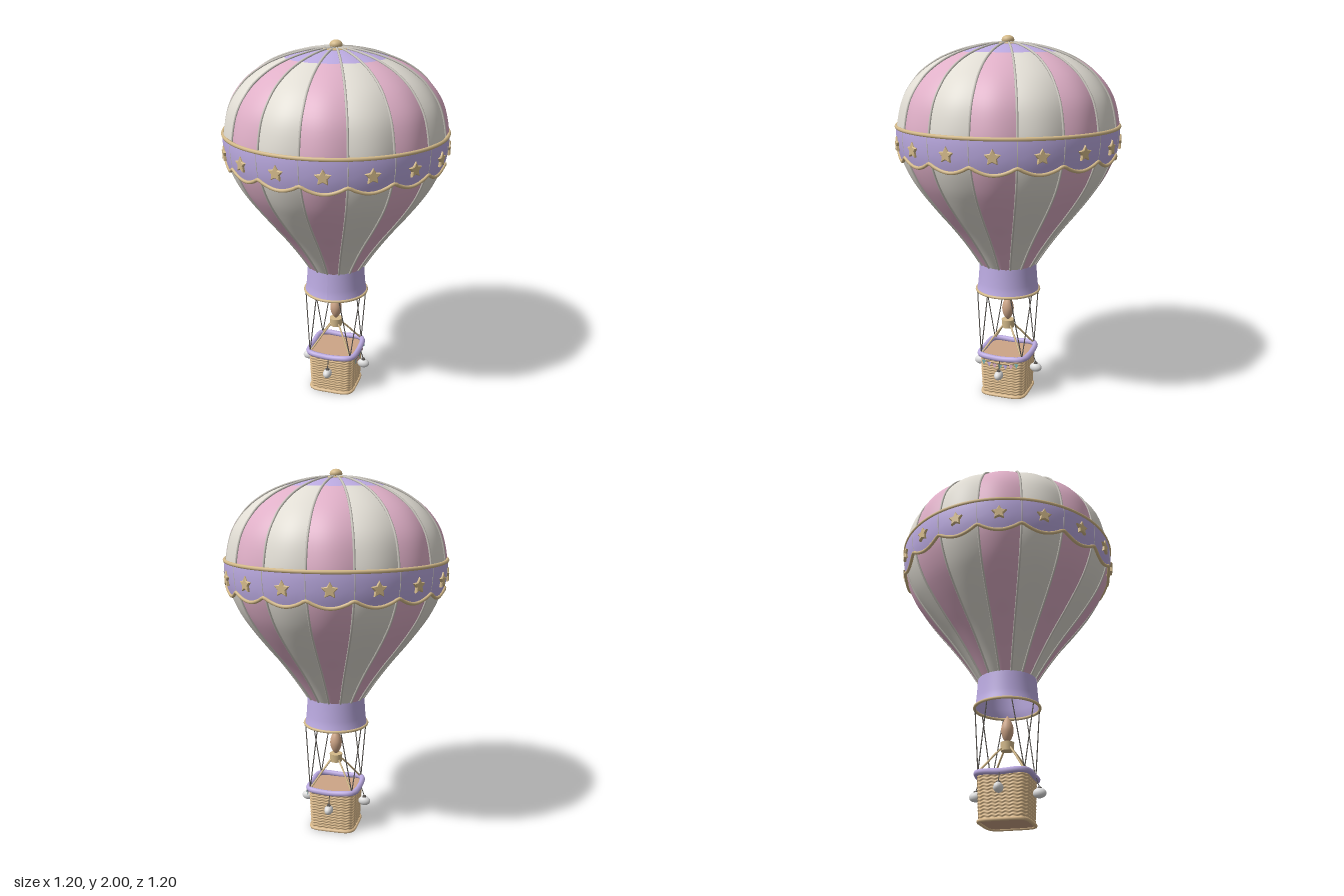
import * as THREE from 'three';

const mat = (name, color) => {
  const m = new THREE.MeshStandardMaterial({ color, side: THREE.DoubleSide });
  m.name = name;
  return m;
};

export function createModel() {
  const pink = mat('pink fabric', 0xe0b0c8), cream = mat('cream fabric', 0xe1ddd4);
  const lilac = mat('lilac fabric', 0xbcabe2), seamGrey = mat('seam grey', 0xc6c2ba);
  const gold = mat('gold trim', 0xd4ba8a), wicker = mat('wicker', 0xdcbb8d);
  const brown = mat('warm brown', 0xcda587), rope = mat('dark rope', 0x5a5652);
  const teal = mat('teal flag', 0x7fb8b4), white = mat('white canvas', 0xdedede);

  const model = new THREE.Group();
  const N = 16, STEP = Math.PI * 2 / N;
  const polar = (r, y, a) => new THREE.Vector3(r * Math.sin(a), y, r * Math.cos(a));
  const add = (name, geo, material, parent = model) => {
    const m = new THREE.Mesh(geo, material);
    m.name = name;
    parent.add(m);
    return m;
  };
  const group = (name) => {
    const g = new THREE.Group();
    g.name = name;
    model.add(g);
    return g;
  };

  // Surface over u (around) and v (upwards)
  const grid = (nu, nv, fn) => {
    const pos = [], idx = [];
    for (let j = 0; j <= nv; j++) for (let i = 0; i <= nu; i++) pos.push(...fn(i / nu, j / nv).toArray());
    for (let j = 0; j < nv; j++) for (let i = 0; i < nu; i++) {
      const a = j * (nu + 1) + i, b = a + 1, c = a + nu + 1, d = c + 1;
      idx.push(a, b, d, a, d, c);
    }
    const g = new THREE.BufferGeometry();
    g.setAttribute('position', new THREE.Float32BufferAttribute(pos, 3));
    g.setIndex(idx);
    g.computeVertexNormals();
    return g;
  };
  const tube = (pts, r, seg = 12, closed = false, sides = 8) =>
    new THREE.TubeGeometry(new THREE.CatmullRomCurve3(pts, closed), seg, r, sides, closed);
  const ring = (name, r, y, t, material, parent) => {
    const m = add(name, new THREE.TorusGeometry(r, t, 8, 96), material, parent);
    m.rotation.x = Math.PI / 2;
    m.position.y = y;
    return m;
  };

  // Envelope profile at the seams, from mouth to crown
  const pts = [[.155, .77], [.22, .87], [.3, .98], [.38, 1.08], [.455, 1.18], [.512, 1.27], [.555, 1.37],
    [.574, 1.46], [.573, 1.56], [.54, 1.69], [.468, 1.795], [.37, 1.87], [.26, 1.918], [.15, 1.946], [.07, 1.957], [0, 1.959]];
  const profile = new THREE.SplineCurve(pts.map(p => new THREE.Vector2(...p)));
  const samples = profile.getPoints(600);
  const radiusAt = y => samples.find(p => p.y >= y).x;
  const capT = 12 / (pts.length - 1);
  const gore = (k, t0, t1, nv) => grid(10, nv, (u, v) => {
    const p = profile.getPoint(t0 + (t1 - t0) * v);
    return polar(p.x * (1 + .025 * Math.sin(Math.PI * u)), p.y, (k + u) * STEP);
  });

  const envelope = group('envelope'), band = group('band');
  const bandR = y => radiusAt(y) + .016;
  const hem = u => 1.4 - .036 * Math.sin(Math.PI * u);

  // Five-pointed star
  const starShape = new THREE.Shape();
  for (let i = 0; i < 10; i++) {
    const r = i % 2 ? .018 : .036, a = i * Math.PI / 5;
    starShape[i ? 'lineTo' : 'moveTo'](r * Math.sin(a), r * Math.cos(a));
  }
  starShape.closePath();
  const starGeo = new THREE.ExtrudeGeometry(starShape,
    { depth: .01, bevelEnabled: true, bevelThickness: .004, bevelSize: .004, bevelSegments: 1 });

  const hemPts = [];
  for (let k = 0; k < N; k++) {
    const a = k * STEP;
    add('gore', gore(k, 0, capT, 48), k % 2 ? cream : pink, envelope);
    add('crownPanel', gore(k, capT, 1, 12), lilac, envelope);
    const seam = [];
    for (let j = 0; j <= 40; j++) {
      const p = profile.getPoint(j / 40 * .995);
      seam.push(polar(p.x + .003, p.y + (p.y > 1.8 ? .003 : 0), a));
    }
    add('seam', tube(seam, .006, 80, false, 8), seamGrey, envelope);

    // Scalloped band section with its star
    add('bandPanel', grid(10, 8, (u, v) => {
      const y = hem(u) + (1.54 - hem(u)) * v;
      return polar(bandR(y), y, (k + u) * STEP);
    }), lilac, band);
    add('bandSeam', tube([1.4, 1.47, 1.54].map(y => polar(bandR(y) - .001, y, a)), .003, 8, false, 6), seamGrey, band);
    for (let j = 0; j < 8; j++) hemPts.push(polar(bandR(hem(j / 8)) + .002, hem(j / 8), a + j / 8 * STEP));
    const star = add('star', starGeo, gold, band);
    star.position.copy(polar(.587, 1.453, a + STEP / 2));
    star.rotation.y = a + STEP / 2;
  }
  add('scallopTrim', tube(hemPts, .009, 256, true), gold, band);
  ring('bandTopRing', .589, 1.537, .01, gold, band);

  // Crown fitting, with the seams running over the rings
  ring('crownRing', .073, 1.957, .006, gold, envelope);
  ring('crownInnerRing', .055, 1.958, .006, gold, envelope);
  const knob = add('crownKnob', new THREE.SphereGeometry(.033, 24, 16), gold, envelope);
  knob.scale.y = .75;
  knob.position.y = 1.975;

  // Skirt
  add('skirt', grid(64, 6, (u, v) => polar(.175 - .017 * Math.sqrt(v), .615 + .157 * v, u * Math.PI * 2)), lilac);
  ring('skirtRing', .174, .615, .008, gold);

  // Basket: rounded-square cross-sections
  const square = (a, y, t) => {
    const n = 5, s = Math.abs(Math.sin(t)) ** n + Math.abs(Math.cos(t)) ** n;
    return polar(a / s ** (1 / n), y, t);
  };
  const loop = (a, y, lift = 0) => Array.from({ length: 64 }, (_, i) => {
    const t = i / 64 * Math.PI * 2;
    return square(a, y + lift * Math.sin(2 * t) ** 2, t);
  });
  const basket = group('basket');
  add('wovenWall', grid(192, 72, (u, v) => {
    const weave = .002 * Math.sin(v * Math.PI * 28 + 1.2 * Math.sin(u * Math.PI * 48));
    return square(.127 + .009 * v + weave, .01 + .23 * v, u * Math.PI * 2);
  }), wicker, basket);
  for (const [name, a, y] of [['base', .126, .01], ['deck', .136, .232]])
    add(name, grid(64, 1, (u, v) => square(a * (1 - v), y, u * Math.PI * 2)), brown, basket);
  add('bottomRim', tube(loop(.128, .01), .009, 128, true), wicker, basket);
  add('paddedRim', tube(loop(.139, .241, .006), .016, 128, true), lilac, basket);

  // Burner and flame
  const burner = group('burner');
  add('burnerCan', new THREE.CylinderGeometry(.036, .034, .046, 24), gold, burner).position.y = .405;
  const flame = [[0, .425], [.016, .44], [.028, .465], [.033, .495], [.028, .525], [.016, .552], [0, .575]];
  add('flame', new THREE.LatheGeometry(new THREE.SplineCurve(flame.map(p => new THREE.Vector2(...p))).getPoints(24), 24), brown, burner);

  // Corner supports and suspension ropes
  for (const sx of [-1, 1]) for (const sz of [-1, 1]) {
    add('burnerArm', tube([[.02, .4], [.055, .35], [.09, .295], [.12, .25]]
      .map(([d, y]) => new THREE.Vector3(sx * d, y, sz * d)), .005), gold, burner);
    for (const a of [STEP, 3 * STEP]) {
      const top = polar(.172, .615, a);
      add('suspensionRope', tube([new THREE.Vector3(sx * .12, .25, sz * .12),
        new THREE.Vector3(sx * top.x, top.y, sz * top.z)], .003, 1, false, 6), rope);
    }
  }

  // Ballast bags hung on each side
  for (let k = 0; k < 4; k++) {
    const a = k * Math.PI / 2;
    const bag = add('ballastBag', new THREE.SphereGeometry(1, 20, 14), white, basket);
    bag.scale.set(.024, .026, .035);
    bag.position.copy(polar(.167, .154, a));
    bag.rotation.y = a;
    add('bagCap', new THREE.CylinderGeometry(.01, .012, .007, 12), rope, basket).position.copy(polar(.167, .181, a));
    add('bagRope', tube([polar(.146, .245, a), polar(.167, .182, a)], .0025, 1, false, 6), rope, basket);
  }

  // Bunting on the left side
  const flagShape = new THREE.Shape([[-.013, 0], [0, -.028], [.013, 0]].map(p => new THREE.Vector2(...p)));
  const flagGeo = new THREE.ShapeGeometry(flagShape);
  const sag = z => .208 + 1.9 * z * z;
  const line = [];
  for (let i = 0; i < 7; i++) {
    const z = (i - 3) * .032;
    line.push(new THREE.Vector3(.143, sag(z), z));
    const flag = add('flag', flagGeo, [teal, pink, lilac][i % 3], basket);
    flag.position.set(.145, sag(z), z);
    flag.rotation.y = Math.PI / 2;
  }
  add('buntingLine', tube(line, .0015, 24, false, 5), rope, basket);

  return model;
}
